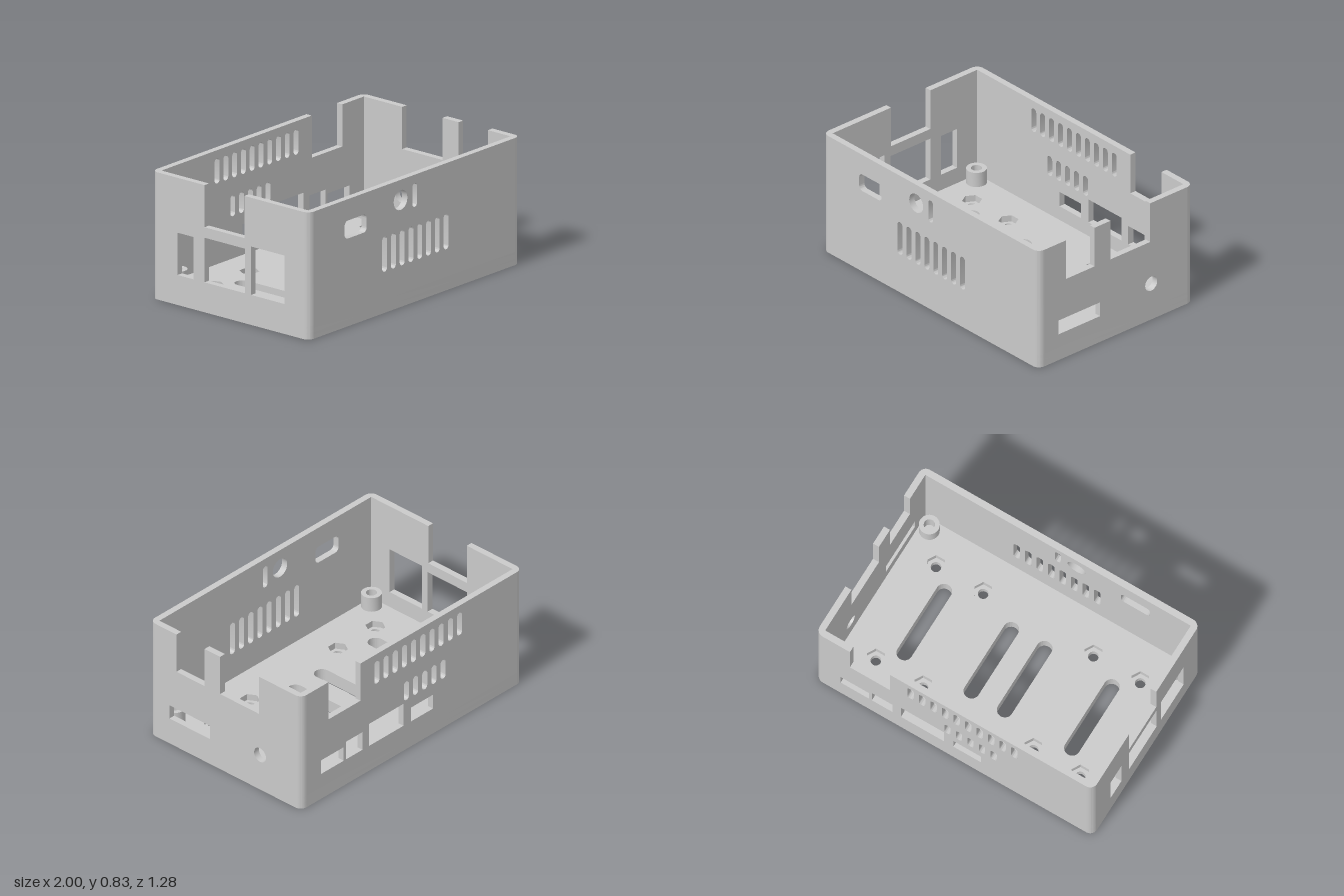
import * as THREE from 'three';
import { toCreasedNormals } from 'three/addons/utils/BufferGeometryUtils.js';

const HX = 1, HZ = 0.64, H = 0.827, WALL = 0.043, FLOOR = 0.086, R = 0.05;

// Outline helpers: rectangle with rounded corners, slot and circle
function rounded(path, x0, y0, x1, y1, r) {
  if (r === 0) {
    path.moveTo(x0, y0).lineTo(x1, y0).lineTo(x1, y1).lineTo(x0, y1).closePath();
    return path;
  }
  path.moveTo(x0 + r, y0);
  path.absarc(x1 - r, y0 + r, r, -Math.PI / 2, 0, false);
  path.absarc(x1 - r, y1 - r, r, 0, Math.PI / 2, false);
  path.absarc(x0 + r, y1 - r, r, Math.PI / 2, Math.PI, false);
  path.absarc(x0 + r, y0 + r, r, Math.PI, Math.PI * 1.5, false);
  return path;
}
const rect = (x0, y0, x1, y1, r = 0) => rounded(new THREE.Path(), x0, y0, x1, y1, r);
const slot = (x, w, y0, y1) => rect(x - w / 2, y0, x + w / 2, y1, w / 2 - 0.0005);
const circle = (x, y, r) => new THREE.Path().absarc(x, y, r, 0, Math.PI * 2, false);
const hexagon = (x, y, r) => new THREE.Path(Array.from({ length: 7 }, (_, i) =>
  new THREE.Vector2(x + r * Math.cos(i * Math.PI / 3), y + r * Math.sin(i * Math.PI / 3))));
const row = (n, mid, step, y0, y1) =>
  Array.from({ length: n }, (_, i) => slot(mid + (i - (n - 1) / 2) * step, 0.046, y0, y1));

function extrude(shape, depth) {
  const geo = new THREE.ExtrudeGeometry(shape, { depth, bevelEnabled: false, curveSegments: 12 });
  return toCreasedNormals(geo, 0.6);
}

export function createModel() {
  const model = new THREE.Group();
  model.name = 'enclosure';
  const grey = new THREE.MeshStandardMaterial({ name: 'grey plastic', color: 0xcacaca });

  const add = (name, geo, x = 0, y = 0, z = 0) => {
    const mesh = new THREE.Mesh(geo, grey);
    mesh.name = name;
    mesh.position.set(x, y, z);
    model.add(mesh);
    return mesh;
  };
  // Shape drawn in plan (x, -z) and raised by a height
  const raise = (name, shape, height, x, y, z) =>
    add(name, extrude(shape, height).rotateX(-Math.PI / 2), x, y, z);

  // Wall plate with openings; notches are [from, to, bottom], cut from the rim
  function wall(name, half, notches, holes) {
    const s = new THREE.Shape().moveTo(-half, FLOOR).lineTo(half, FLOOR).lineTo(half, H);
    for (const [a, b, y] of notches) s.lineTo(b, H).lineTo(b, y).lineTo(a, y).lineTo(a, H);
    s.lineTo(-half, H).closePath();
    s.holes.push(...holes);
    return add(name, extrude(s, WALL));
  }

  wall('frontWall', HX - R, [], [
    rect(-0.662, 0.571, -0.453, 0.688, 0.03),
    circle(-0.133, 0.696, 0.065),
    slot(0.001, 0.042, 0.618, 0.771),
    ...row(8, 0.007, 0.083, 0.268, 0.497),
  ]).position.z = HZ - WALL;

  wall('backWall', HX - R, [[0.464, 0.753, 0.553]], [
    ...row(10, -0.058, 0.083, 0.61, 0.774),
    ...row(5, -0.117, 0.083, 0.361, 0.498),
    rect(0.615, 0.183, 0.82, 0.283),
    rect(0.445, 0.183, 0.595, 0.313),
    rect(0.075, 0.183, 0.385, 0.345),
    rect(-0.193, 0.183, 0.007, 0.285),
  ]).position.z = -HZ;

  // Side walls are drawn along z, then turned
  const right = wall('socketWall', HZ - R, [[0.175, 0.413, 0.553], [-0.285, 0.044, 0.553]], [
    rect(0.13, 0.183, 0.472, 0.281),
    circle(-0.293, 0.254, 0.05),
  ]);
  const left = wall('portWall', HZ - R, [[-0.21, 0.115, 0.553]], [
    rect(-0.43, 0.195, -0.3, 0.47),
    rect(-0.21, 0.195, 0.12, 0.485),
    rect(0.17, 0.195, 0.442, 0.51),
  ]);
  right.rotation.y = left.rotation.y = -Math.PI / 2;
  right.position.x = HX;
  left.position.x = -HX + WALL;

  // Thick floor with long vents: screw holes below, hexagonal nut recesses above
  const mountX = [-0.738, -0.4, 0.395, 0.735], mountZ = [-0.36, 0.357];
  function floorLayer(name, y, mountHole) {
    const s = rounded(new THREE.Shape(), -HX, -HZ, HX, HZ, R);
    for (const x of [-0.607, -0.122, 0.118, 0.602]) s.holes.push(slot(x, 0.1, -0.282, 0.288));
    for (const x of mountX) for (const z of mountZ) s.holes.push(mountHole(x, -z));
    raise(name, s, FLOOR / 2, 0, y, 0);
  }
  floorLayer('floorBase', 0, (x, y) => circle(x, y, 0.033));
  floorLayer('floorNutLayer', FLOOR / 2, (x, y) => hexagon(x, y, 0.063));

  // Round screw posts and rounded vertical edges at the four corners
  const post = new THREE.Shape().absarc(0, 0, 0.065, 0, Math.PI * 2, false);
  post.holes.push(circle(0, 0, 0.035));
  const inset = R - WALL;
  const edge = new THREE.Shape().moveTo(inset, inset).lineTo(inset, 0);
  edge.absarc(0, 0, R, 0, Math.PI / 2, false);
  edge.lineTo(0, inset).closePath();
  [[1, -1], [-1, -1], [-1, 1], [1, 1]].forEach(([sx, sz], i) => {
    raise('screwPost', post, 0.1, sx * 0.888, FLOOR, sz * 0.53);
    raise('cornerEdge', edge, H - FLOOR, sx * (HX - R), FLOOR, sz * (HZ - R)).rotation.y = i * Math.PI / 2;
  });

  return model;
}
